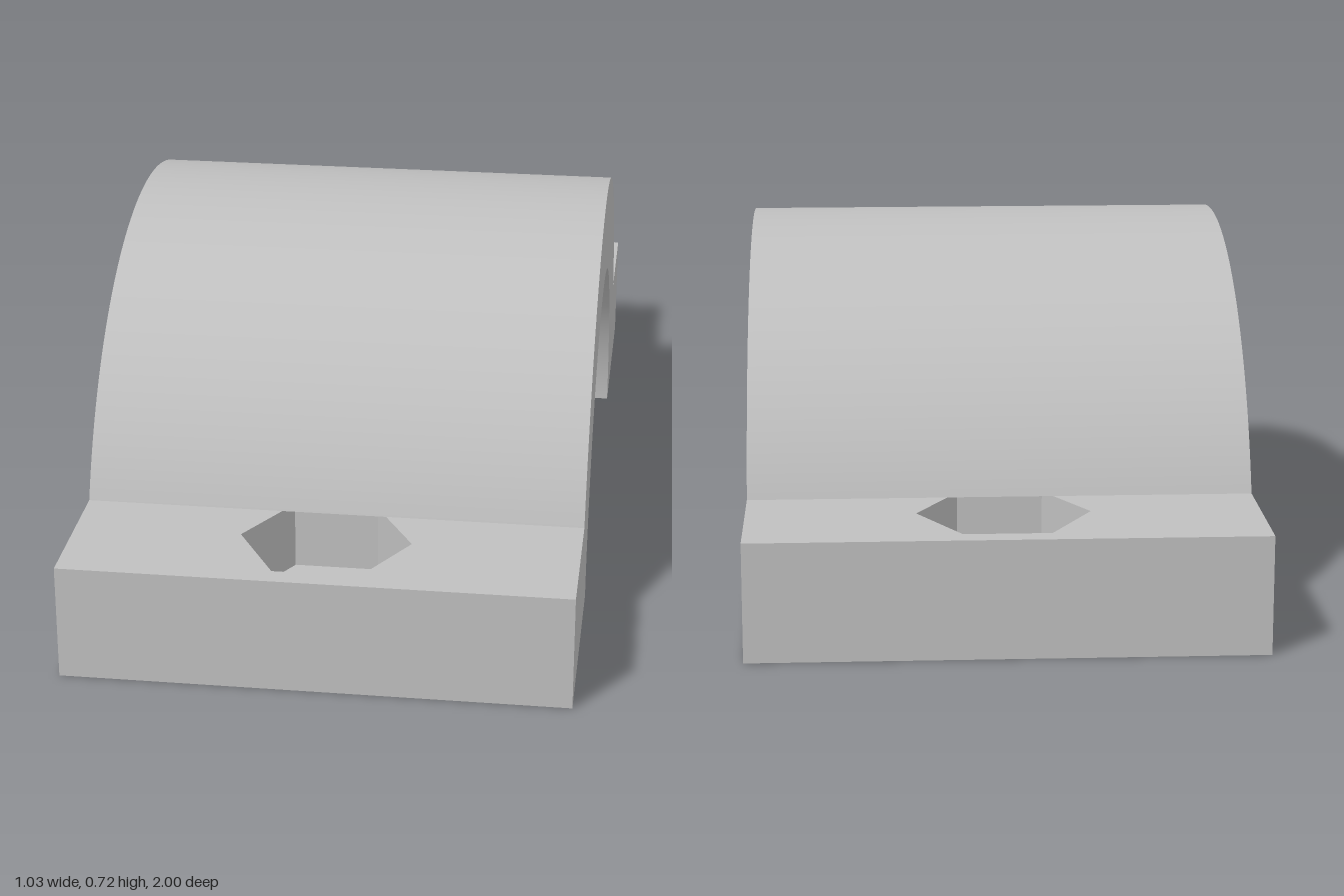
import * as THREE from 'three';
import { toCreasedNormals } from 'three/addons/utils/BufferGeometryUtils.js';

const HALF_WIDTH = 0.517;   // along x
const FLANGE_TOP = 0.242;
const POCKET_FLOOR = 0.1;
const PAD_START = 0.64;     // where the arch hands over to the bolt pads
const BOLT_Z = 0.805;
const ARC_Y = -0.013;       // common centre of both arcs
const OUTER_R = 0.735;
const INNER_R = 0.525;

function extrude(shape, depth, curveSegments = 64) {
  return new THREE.ExtrudeGeometry(shape, { depth, curveSegments, bevelEnabled: false });
}

// Half-ring profile with short square feet, drawn in the z-y plane
function archGeometry() {
  const outer = Math.asin((FLANGE_TOP - ARC_Y) / OUTER_R);
  const inner = Math.asin(-ARC_Y / INNER_R);
  const s = new THREE.Shape();
  s.moveTo(PAD_START, 0);
  s.lineTo(PAD_START, FLANGE_TOP);
  s.absarc(0, ARC_Y, OUTER_R, outer, Math.PI - outer, false);
  s.lineTo(-PAD_START, FLANGE_TOP);
  s.lineTo(-PAD_START, 0);
  s.absarc(0, ARC_Y, INNER_R, Math.PI - inner, inner, true);
  s.closePath();
  const g = extrude(s, HALF_WIDTH * 2);
  g.translate(0, 0, -HALF_WIDTH).rotateY(Math.PI / 2);
  return toCreasedNormals(g, 0.5);
}

// Horizontal slab of a bolt pad, pierced by the given hole
function padGeometry(hole, bottom, top) {
  const s = new THREE.Shape([
    new THREE.Vector2(-HALF_WIDTH, PAD_START),
    new THREE.Vector2(HALF_WIDTH, PAD_START),
    new THREE.Vector2(HALF_WIDTH, 1),
    new THREE.Vector2(-HALF_WIDTH, 1),
  ]);
  s.holes.push(hole);
  const g = extrude(s, top - bottom, 48);
  g.rotateX(Math.PI / 2).translate(0, top, 0);
  return toCreasedNormals(g, 0.5);
}

export function createModel() {
  const model = new THREE.Group();
  model.name = 'pipeClamp';
  const metal = new THREE.MeshStandardMaterial({ color: 0xbfbfbf });
  metal.name = 'grey metal';

  const add = (parent, name, geometry) => {
    const mesh = new THREE.Mesh(geometry, metal);
    mesh.name = name;
    parent.add(mesh);
  };

  add(model, 'arch', archGeometry());

  // Round bolt hole below, hexagonal nut pocket above
  const boltHole = new THREE.Path().absarc(0, BOLT_Z, 0.099, 0, Math.PI * 2, true);
  const nutPocket = new THREE.Path();
  nutPocket.setFromPoints(Array.from({ length: 6 }, (_, i) => {
    const a = -i * Math.PI / 3;
    return new THREE.Vector2(0.175 * Math.cos(a), BOLT_Z + 0.175 * Math.sin(a));
  }));
  nutPocket.closePath();
  const lower = padGeometry(boltHole, 0, POCKET_FLOOR);
  const upper = padGeometry(nutPocket, POCKET_FLOOR, FLANGE_TOP);

  for (const [name, turn] of [['frontFlange', 0], ['backFlange', Math.PI]]) {
    const flange = new THREE.Group();
    flange.name = name;
    flange.rotation.y = turn;
    add(flange, 'boltHolePlate', lower);
    add(flange, 'nutPocketPlate', upper);
    model.add(flange);
  }
  return model;
}
